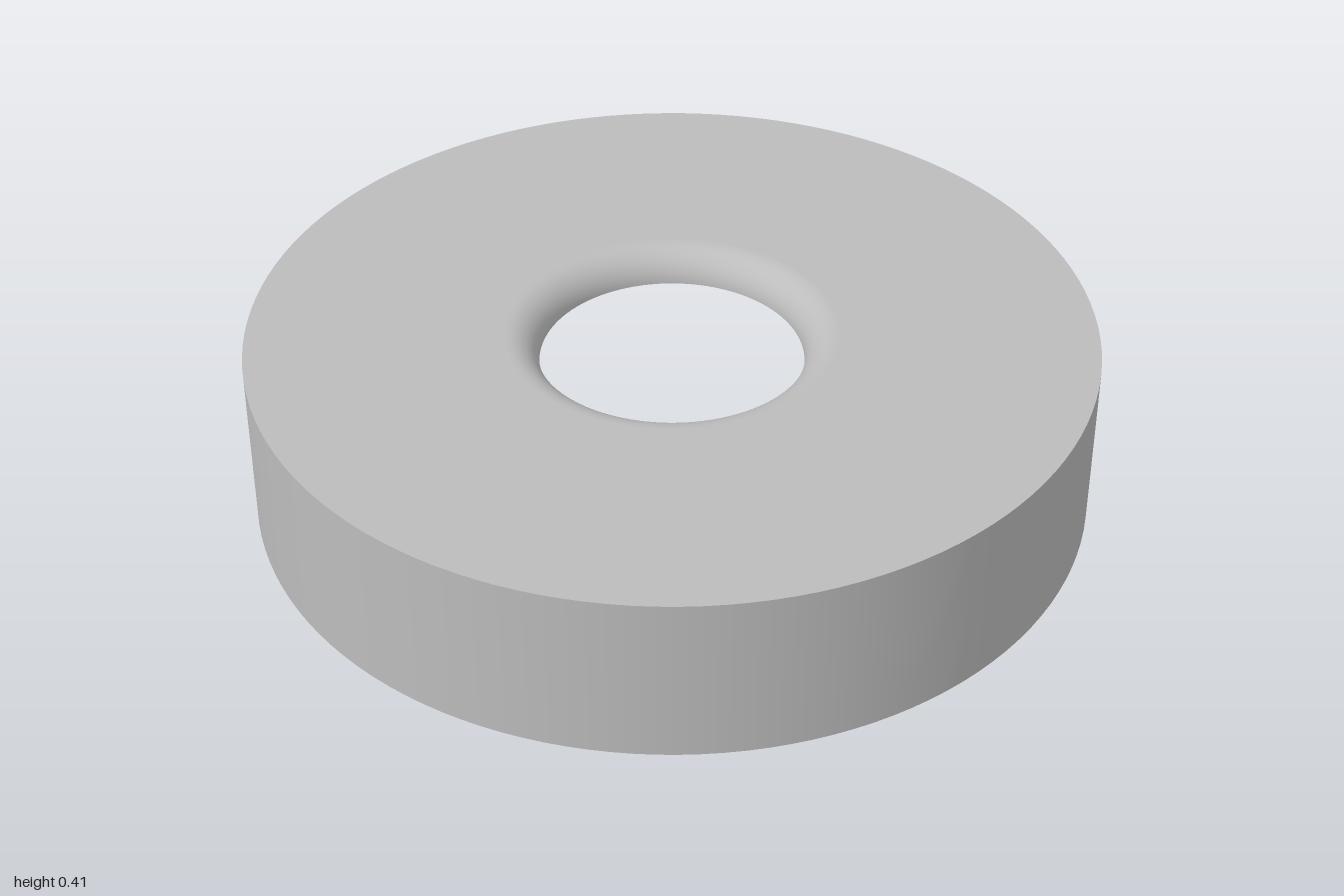
import * as THREE from 'three';

const H = 0.415;        // overall height
const CEILING = 0.337;  // underside of the top plate
const BORE = 0.3125;    // narrowest radius of the centre hole

// Points of a circular arc in the (radius, height) plane, angles in degrees
function arc(cx, cy, r, from, to, steps = 10) {
  const pts = [];
  for (let i = 0; i <= steps; i++) {
    const a = THREE.MathUtils.degToRad(from + ((to - from) * i) / steps);
    pts.push([cx + r * Math.cos(a), cy + r * Math.sin(a)]);
  }
  return pts;
}

export function createModel() {
  const group = new THREE.Group();
  group.name = 'ringCap';
  const grey = new THREE.MeshStandardMaterial({ color: 0xbcbcbc });
  grey.name = 'plain grey';

  // Each smooth stretch of the profile is its own lathe, so corners stay sharp
  function turn(name, pts) {
    const profile = pts.map(([r, y]) => new THREE.Vector2(r, y));
    const mesh = new THREE.Mesh(new THREE.LatheGeometry(profile, 128), grey);
    mesh.name = name;
    group.add(mesh);
  }

  // Outside: wall, flat top and the rounded mouth of the hole
  const mouth = H - CEILING;
  turn('outerWall', [[1, 0], [1, H]]);
  turn('topFace', [[1, H], [BORE + mouth, H]]);
  turn('holeMouth', arc(BORE + mouth, CEILING, mouth, 90, 180, 16));

  // Underside: recessed ceiling with a filleted wall
  const fillet = 0.04;
  const recess = 0.735;
  turn('recessCeiling', [[BORE, CEILING], [recess - fillet, CEILING]]);
  turn('recessFillet', arc(recess - fillet, CEILING - fillet, fillet, 90, 0));
  turn('recessWall', [[recess, CEILING - fillet], [recess, 0.204]]);

  // Sloping seat, ending in a small rounded ridge
  turn('slopingSeat', [[recess, 0.204], [0.87, 0.125]]);
  turn('seatRidge', [[0.87, 0.125], [0.878, 0.122], [0.886, 0.125], [0.892, 0.134]]);

  // Narrow groove behind the rim
  turn('grooveFloor', [[0.892, 0.134], [0.922, 0.134]]);
  turn('grooveWall', [[0.922, 0.134], [0.92, 0.122], [0.904, 0.108]]);

  // Rim: inner wall, rounded lip and flat foot
  const lip = 0.036;
  turn('rimInnerWall', [[0.904, 0.108], [0.904, lip]]);
  turn('rimLip', arc(0.904 + lip, lip, lip, 180, 270));
  turn('rimFoot', [[0.904 + lip, 0], [1, 0]]);

  return group;
}
